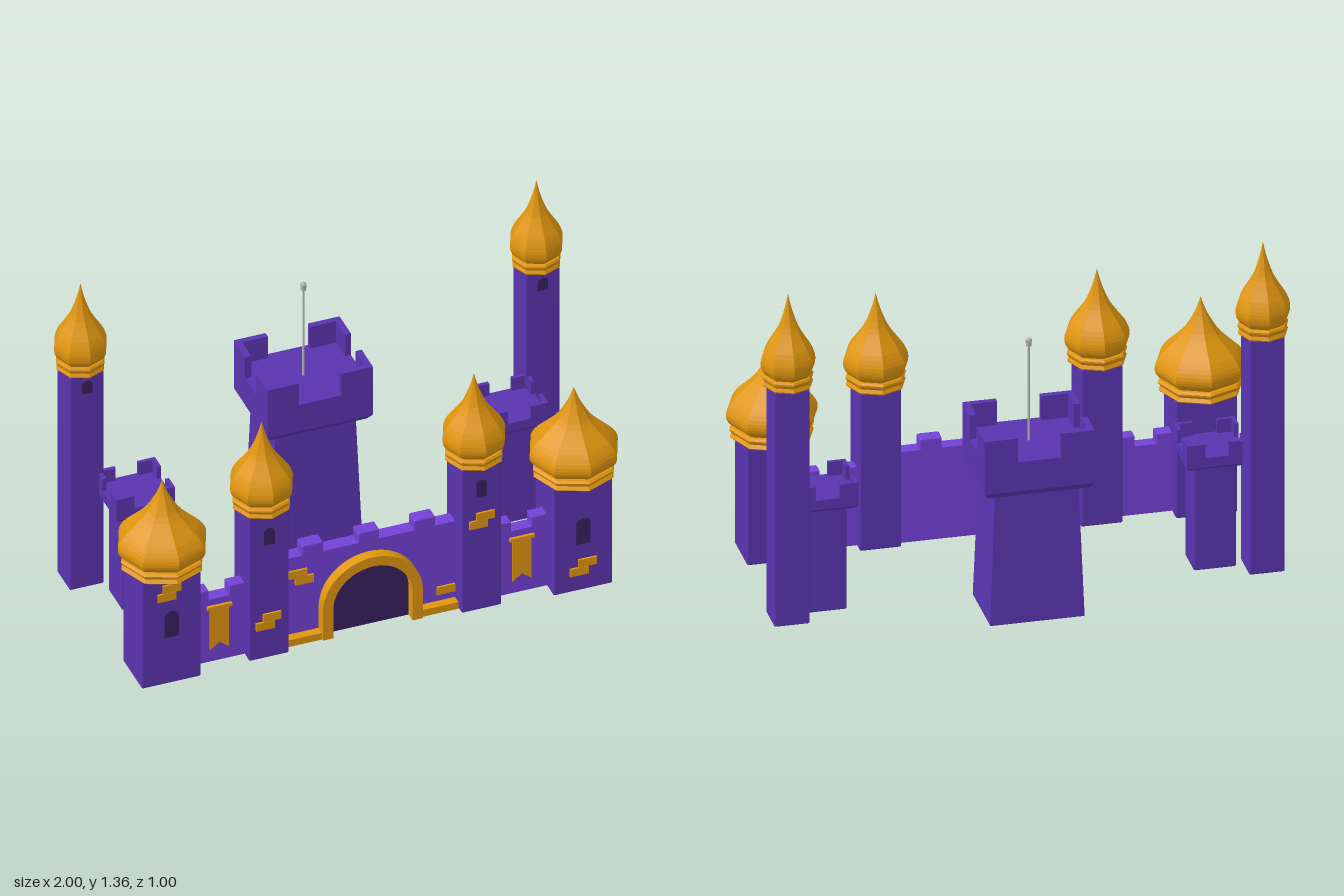
import * as THREE from 'three';
import { RoundedBoxGeometry } from 'three/addons/geometries/RoundedBoxGeometry.js';

const mat = (name, color) => {
  const m = new THREE.MeshStandardMaterial({ color });
  m.name = name;
  return m;
};

export function createModel() {
  const purple = mat('tower purple', 0x5a34b0);
  const violet = mat('wall violet', 0x7341d6);
  const gold = mat('gold', 0xe0960f);
  const dark = mat('dark opening', 0x38205f);
  const grey = mat('pole grey', 0xb4b4b4);

  const model = new THREE.Group();
  model.name = 'castle';

  const add = (parent, name, geo, material, x = 0, y = 0, z = 0) => {
    const mesh = new THREE.Mesh(geo, material);
    mesh.name = name;
    mesh.position.set(x, y, z);
    parent.add(mesh);
    return mesh;
  };
  const group = (name, x = 0, y = 0, z = 0) => {
    const g = new THREE.Group();
    g.name = name;
    g.position.set(x, y, z);
    model.add(g);
    return g;
  };
  const flat = (geo) => {
    const g = geo.index ? geo.toNonIndexed() : geo;
    g.computeVertexNormals();
    return g;
  };
  // Box given by its limits, optionally with softened edges
  const box = (parent, name, material, [x0, x1], [y0, y1], [z0, z1], soft = 0) => {
    const size = [x1 - x0, y1 - y0, z1 - z0];
    const geo = soft ? new RoundedBoxGeometry(...size, 2, soft) : new THREE.BoxGeometry(...size);
    return add(parent, name, geo, material, (x0 + x1) / 2, (y0 + y1) / 2, (z0 + z1) / 2);
  };
  // Four-sided tapered block, half sizes at the bottom and the top
  const taper = (parent, name, material, bx, bz, tx, tz, y0, y1) => {
    const geo = new THREE.BoxGeometry(2, y1 - y0, 2);
    const p = geo.attributes.position;
    for (let i = 0; i < p.count; i++) {
      const top = p.getY(i) > 0;
      p.setX(i, p.getX(i) * (top ? tx : bx));
      p.setZ(i, p.getZ(i) * (top ? tz : bz));
    }
    return add(parent, name, flat(geo), material, 0, (y0 + y1) / 2, 0);
  };

  // Eight-sided onion dome with a collar
  const H = 0.37;
  const bulb = new THREE.SplineCurve([
    [0.8, 0.12], [0.93, 0.165], [1, 0.23], [0.98, 0.31], [0.84, 0.41], [0.6, 0.52],
    [0.38, 0.63], [0.2, 0.77], [0.09, 0.88], [0, 1],
  ].map(([r, t]) => new THREE.Vector2(r, t))).getPoints(22);
  const collar = [[0, 0], [0.89, 0], [0.92, 0.015], [0.86, 0.05], [0.92, 0.08], [0.93, 0.1], [0.88, 0.12]]
    .map(([r, t]) => new THREE.Vector2(r, t));
  const dome = (parent, r, y) => {
    const pts = [...collar, ...bulb].map((p) => new THREE.Vector2(Math.max(p.x, 0) * r, p.y * H));
    add(parent, 'onionDome', flat(new THREE.LatheGeometry(pts, 8)), gold, 0, y, 0);
  };

  // Arch outline standing on y = 0
  const arch = (Type, half, spring) => {
    const s = new Type();
    s.moveTo(-half, 0);
    s.lineTo(half, 0);
    s.lineTo(half, spring);
    s.absarc(0, spring, half, 0, Math.PI, false);
    s.lineTo(-half, 0);
    return s;
  };
  const extrude = (shape, depth) =>
    new THREE.ExtrudeGeometry(shape, { depth, bevelEnabled: false, curveSegments: 16 });

  // Domed towers: x, z, half width, half depth, bottom, top, dome radius, window [y, half width, height]
  const towers = [
    ['outerFrontTower', 0.81, 0.327, 0.116, 0.096, 0, 0.482, 0.173, [0.21, 0.028, 0.115]],
    ['innerFrontTower', 0.418, 0.325, 0.078, 0.078, 0, 0.645, 0.123, [0.51, 0.021, 0.075]],
    ['rearTower', 0.897, -0.277, 0.067, 0.066, 0.03, 0.99, 0.103, [0.907, 0.02, 0.055]],
  ];
  for (const side of [-1, 1]) {
    const label = side > 0 ? 'Left' : 'Right';
    for (const [name, x, z, hx, hz, y0, y1, r, [wy, wh, wt]] of towers) {
      const g = group(name + label, side * x, 0, z);
      box(g, 'shaft', purple, [-hx, hx], [y0, y1], [-hz, hz], 0.006);
      add(g, 'window', extrude(arch(THREE.Shape, wh, wt - wh), 0.006), dark, 0, wy, hz - 0.003);
      dome(g, r, y1);
    }

    // Short side wall with end merlons
    const w = group('sideWall' + label, side * 0.595);
    box(w, 'wall', violet, [-0.11, 0.11], [0, 0.28], [0.3, 0.35]);
    for (const s of [-1, 1]) {
      const lim = [s * 0.075 - 0.035, s * 0.075 + 0.035];
      box(w, 'merlon', violet, lim, [0.275, 0.323], [0.3, 0.35], 0.005);
    }
    // Swallow-tailed banner
    const cloth = new THREE.Shape();
    [[-0.037, 0.24], [-0.037, 0.055], [0, 0.085], [0.037, 0.055], [0.037, 0.24]]
      .forEach(([px, py], i) => (i ? cloth.lineTo(px, py) : cloth.moveTo(px, py)));
    add(w, 'banner', extrude(cloth, 0.008), gold, 0, 0, 0.349);
    box(w, 'bannerRod', gold, [-0.048, 0.048], [0.238, 0.252], [0.348, 0.362]);
  }

  // Battlement head: chamfered block with L-shaped corner merlons
  const head = (g, hx, hz, y0, floor, top, mx, mz, th, chamfer, inset) => {
    taper(g, 'headChamfer', purple, hx - inset, hz - inset, hx, hz, y0, y0 + chamfer);
    box(g, 'headBlock', purple, [-hx, hx], [y0 + chamfer, floor], [-hz, hz]);
    for (const sx of [-1, 1]) for (const sz of [-1, 1]) {
      const s = new THREE.Shape();
      [[hx, hz], [hx - mx, hz], [hx - mx, hz - th], [hx - th, hz - th], [hx - th, hz - mz], [hx, hz - mz]]
        .forEach(([px, pz], i) => (i ? s.lineTo(sx * px, -sz * pz) : s.moveTo(sx * px, -sz * pz)));
      const geo = extrude(s, top - floor);
      geo.rotateX(-Math.PI / 2);
      add(g, 'cornerMerlon', geo, purple, 0, floor, 0);
    }
  };

  // Central keep with a pole
  const keep = group('keep', 0, 0, -0.327);
  taper(keep, 'keepBody', purple, 0.178, 0.136, 0.158, 0.122, 0, 0.54);
  head(keep, 0.208, 0.17, 0.533, 0.677, 0.774, 0.125, 0.115, 0.024, 0.025, 0.018);
  add(keep, 'pole', new THREE.CylinderGeometry(0.004, 0.005, 0.4, 8), grey, 0, 0.87, 0);
  add(keep, 'poleTip', new THREE.CylinderGeometry(0.012, 0.01, 0.026, 10), grey, 0, 1.076, 0);
  add(keep, 'poleCap', new THREE.SphereGeometry(0.012, 10, 6), grey, 0, 1.084, 0);

  // Small rear turrets
  for (const side of [-1, 1]) {
    const t = group('turret' + (side > 0 ? 'Left' : 'Right'), side * 0.735, 0, -0.133);
    box(t, 'turretBody', purple, [-0.08, 0.08], [0, 0.43], [-0.068, 0.068], 0.006);
    head(t, 0.115, 0.102, 0.425, 0.475, 0.53, 0.07, 0.062, 0.015, 0.012, 0.01);
  }

  // Main wall with merlons
  const wall = group('mainWall');
  box(wall, 'wall', violet, [-0.35, 0.35], [0, 0.372], [0.28, 0.335]);
  for (const x of [-0.22, 0, 0.22]) {
    box(wall, 'merlon', violet, [x - 0.042, x + 0.042], [0.365, 0.415], [0.28, 0.335], 0.006);
  }

  // Gate with gold arch and plinths
  const gate = group('gate');
  add(gate, 'gateOpening', extrude(arch(THREE.Shape, 0.157, 0.128), 0.006), dark, 0, 0, 0.332);
  const ring = arch(THREE.Shape, 0.197, 0.128);
  ring.holes.push(arch(THREE.Path, 0.156, 0.128));
  // Open foot: the band is two jambs joined by a half ring
  const band = new THREE.Shape();
  band.moveTo(0.156, 0);
  band.lineTo(0.197, 0);
  band.lineTo(0.197, 0.128);
  band.absarc(0, 0.128, 0.197, 0, Math.PI, false);
  band.lineTo(-0.197, 0);
  band.lineTo(-0.156, 0);
  band.lineTo(-0.156, 0.128);
  band.absarc(0, 0.128, 0.156, Math.PI, 0, true);
  add(gate, 'gateArch', extrude(band, 0.045), gold, 0, 0, 0.333);
  for (const s of [-1, 1]) {
    box(gate, 'plinth', gold, [s * 0.268 - 0.074, s * 0.268 + 0.074], [0, 0.03], [0.333, 0.37]);
  }

  // Gold accent bricks: centre x, centre y, face z
  const bricks = group('accentBricks');
  for (const [x, y, z] of [
    [-0.81, 0.43, 0.423], [-0.83, 0.395, 0.423], [0.825, 0.125, 0.423], [0.793, 0.09, 0.423],
    [-0.408, 0.185, 0.403], [-0.435, 0.15, 0.403], [0.432, 0.423, 0.403], [0.405, 0.39, 0.403],
    [-0.28, 0.298, 0.335], [-0.255, 0.266, 0.335], [0.302, 0.078, 0.335],
  ]) {
    box(bricks, 'brick', gold, [x - 0.036, x + 0.036], [y - 0.017, y + 0.017], [z - 0.002, z + 0.008]);
  }

  return model;
}
